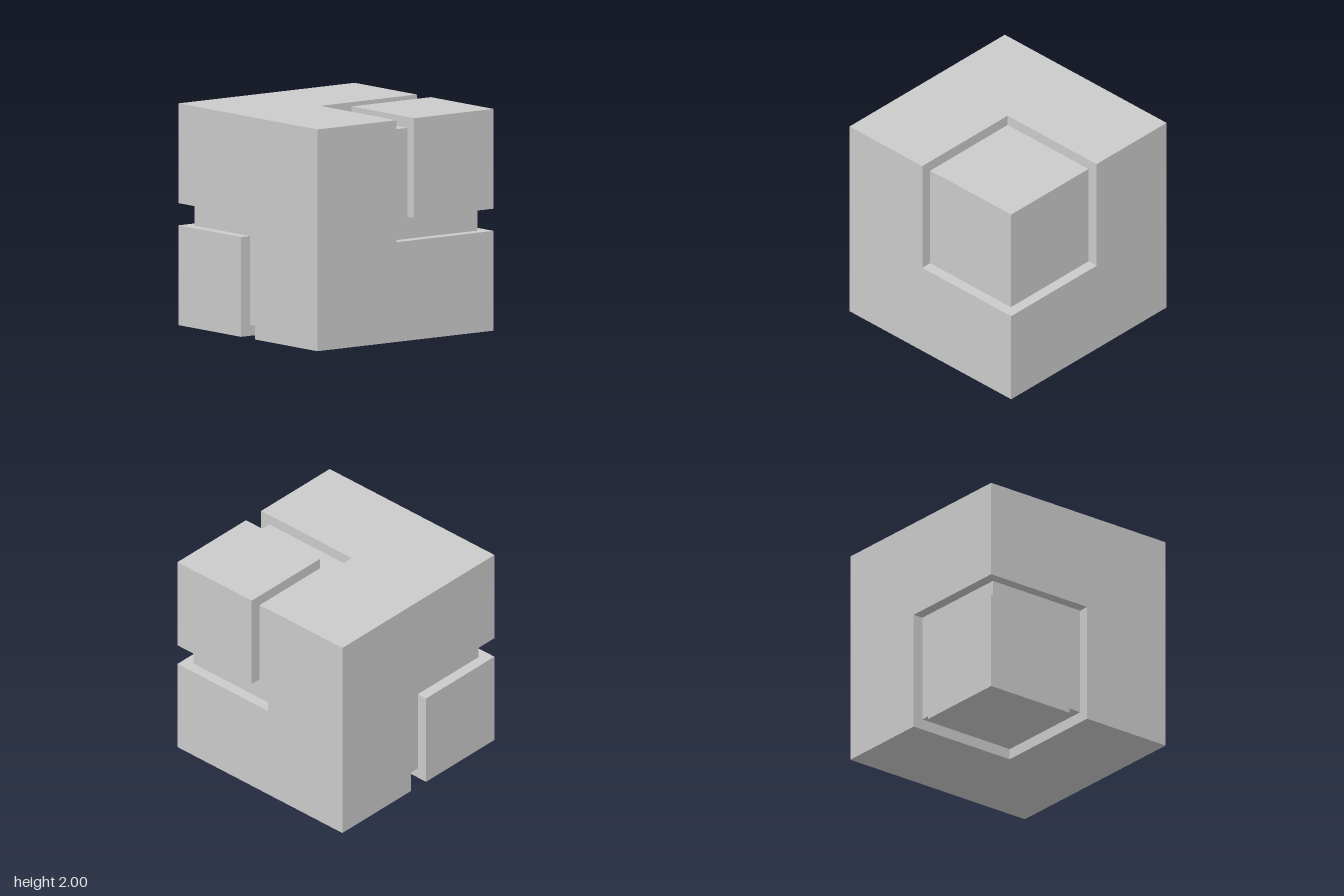
import * as THREE from 'three';

// Planes shared by all three axes: outer faces, groove floors, groove walls
const CUTS = [-1, -0.9, -0.1, 0.1, 0.9, 1];
const N = CUTS.length - 1;

// Which part fills a point (cube centred on the origin), or null for empty space
function partAt(p) {
  if (Math.max(...p.map(Math.abs)) < 0.9) return 'grooveFloor';
  for (const [s, name] of [[1, 'upperBackCornerBlock'], [-1, 'lowerFrontCornerBlock']]) {
    const [x, y, z] = [p[0] * s, p[1] * s, -p[2] * s];
    const inner = Math.min(x, y, z);
    if (inner > 0.1) return name;
    if (inner > -0.1) return null; // the groove round the corner block
  }
  return 'body';
}

function cellPart(cell) {
  if (cell.some((i) => i < 0 || i >= N)) return null;
  return partAt(cell.map((i) => (CUTS[i] + CUTS[i + 1]) / 2));
}

// Adds the exposed faces of one grid cell
function addCellFaces(cell, out) {
  for (let a = 0; a < 3; a++) {
    const b = (a + 1) % 3, c = (a + 2) % 3;
    for (const side of [0, 1]) {
      const next = [...cell];
      next[a] += side ? 1 : -1;
      if (cellPart(next)) continue;
      const corners = [[0, 0], [1, 0], [1, 1], [0, 1]].map(([u, v]) => {
        const q = [];
        q[a] = CUTS[cell[a] + side];
        q[b] = CUTS[cell[b] + u];
        q[c] = CUTS[cell[c] + v];
        return q;
      });
      if (!side) corners.reverse();
      for (const k of [0, 1, 2, 0, 2, 3]) out.push(...corners[k]);
    }
  }
}

export function createModel() {
  const group = new THREE.Group();
  group.name = 'groovedCube';
  const material = new THREE.MeshStandardMaterial({ color: 0xcccccc, flatShading: true });

  // Collect the surface of each part
  const parts = { body: [], grooveFloor: [], upperBackCornerBlock: [], lowerFrontCornerBlock: [] };
  for (let i = 0; i < N; i++)
    for (let j = 0; j < N; j++)
      for (let k = 0; k < N; k++) {
        const name = cellPart([i, j, k]);
        if (name) addCellFaces([i, j, k], parts[name]);
      }

  // One mesh per part, raised to stand on the ground
  for (const [name, positions] of Object.entries(parts)) {
    const geometry = new THREE.BufferGeometry();
    geometry.setAttribute('position', new THREE.Float32BufferAttribute(positions, 3));
    geometry.translate(0, 1, 0);
    geometry.computeVertexNormals();
    const mesh = new THREE.Mesh(geometry, material);
    mesh.name = name;
    group.add(mesh);
  }
  return group;
}
